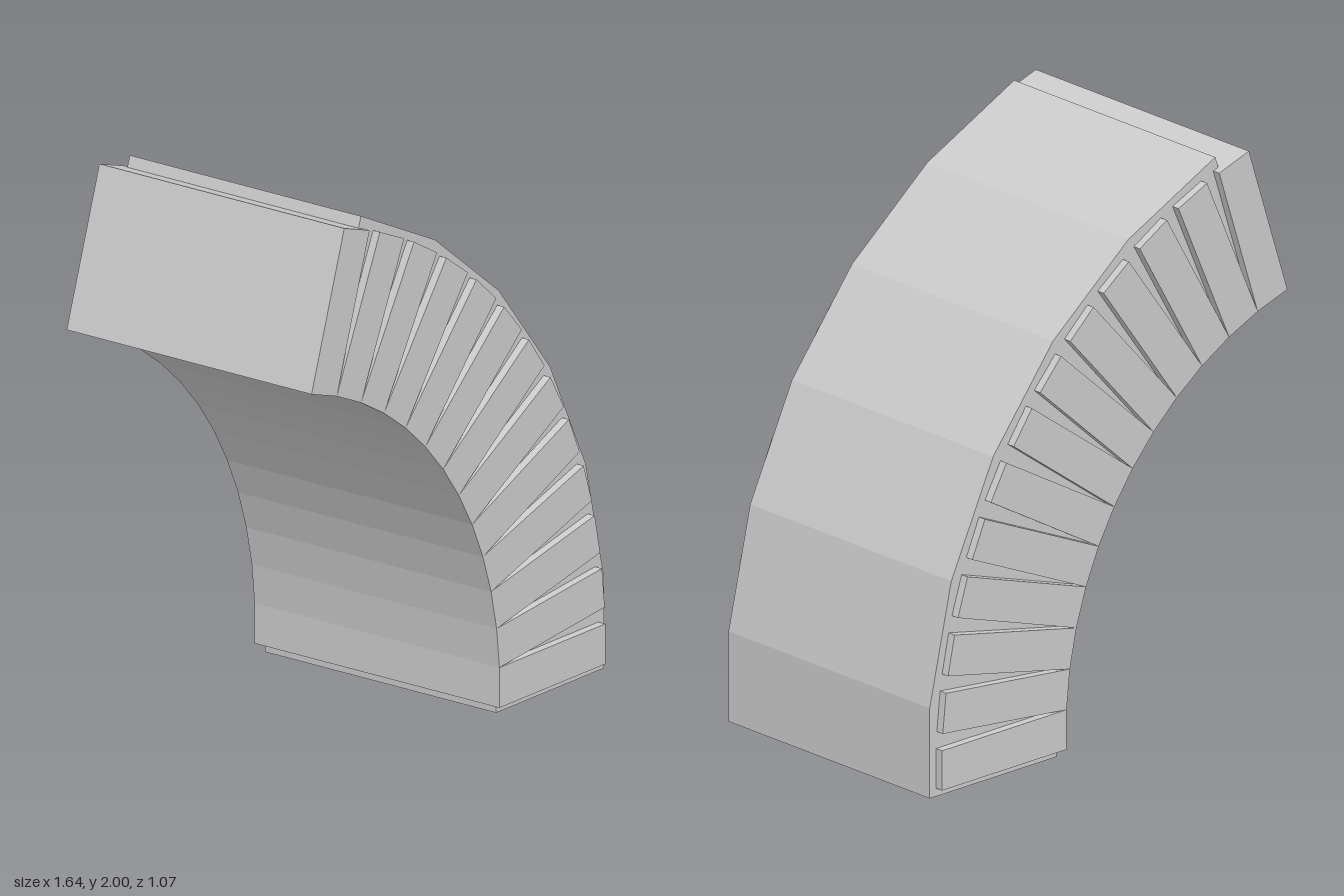
import * as THREE from 'three';

export function createModel() {
  const group = new THREE.Group();
  group.name = 'archSegment';
  const mat = new THREE.MeshStandardMaterial({ color: 0xcccccc, flatShading: true });

  // Shared centre of the curve
  const cx = -1.183, cy = 0.1025;
  const rad = THREE.MathUtils.degToRad;
  const polar = (r, a) => new THREE.Vector2(cx + r * Math.cos(a), cy + r * Math.sin(a));

  // Faceted core band, straight at its foot
  const angles = [0, 1, 2, 3, 4, 5].map(i => rad(6.5 + i * 12.82));
  const outer = [new THREE.Vector2(0.815, 0), ...angles.map(a => polar(2.011, a))];
  const inner = [new THREE.Vector2(0.225, 0), ...angles.map(a => polar(1.412, a))];
  const coreGeo = new THREE.ExtrudeGeometry(
    new THREE.Shape([...outer, ...inner.reverse()]),
    { depth: 1.01, bevelEnabled: false }
  );
  coreGeo.translate(0, 0, -0.505);
  const core = new THREE.Mesh(coreGeo, mat);
  core.name = 'core';
  group.add(core);

  // Arch blocks, touching along their inner edges and fanning outward
  const count = 13, step = rad(6), length = 0.58, width = 0.1455;
  const innerRadius = width / 2 / Math.tan(step / 2);
  const blockGeo = new THREE.BoxGeometry(length, width, 1.07);
  const blocks = new THREE.Group();
  blocks.name = 'archBlocks';
  for (let i = 0; i < count; i++) {
    const block = new THREE.Mesh(blockGeo, mat);
    const p = polar(innerRadius + length / 2, i * step);
    block.position.set(p.x, p.y, 0);
    block.rotation.z = i * step;
    block.name = `archBlock${i + 1}`;
    blocks.add(block);
  }
  group.add(blocks);
  return group;
}
